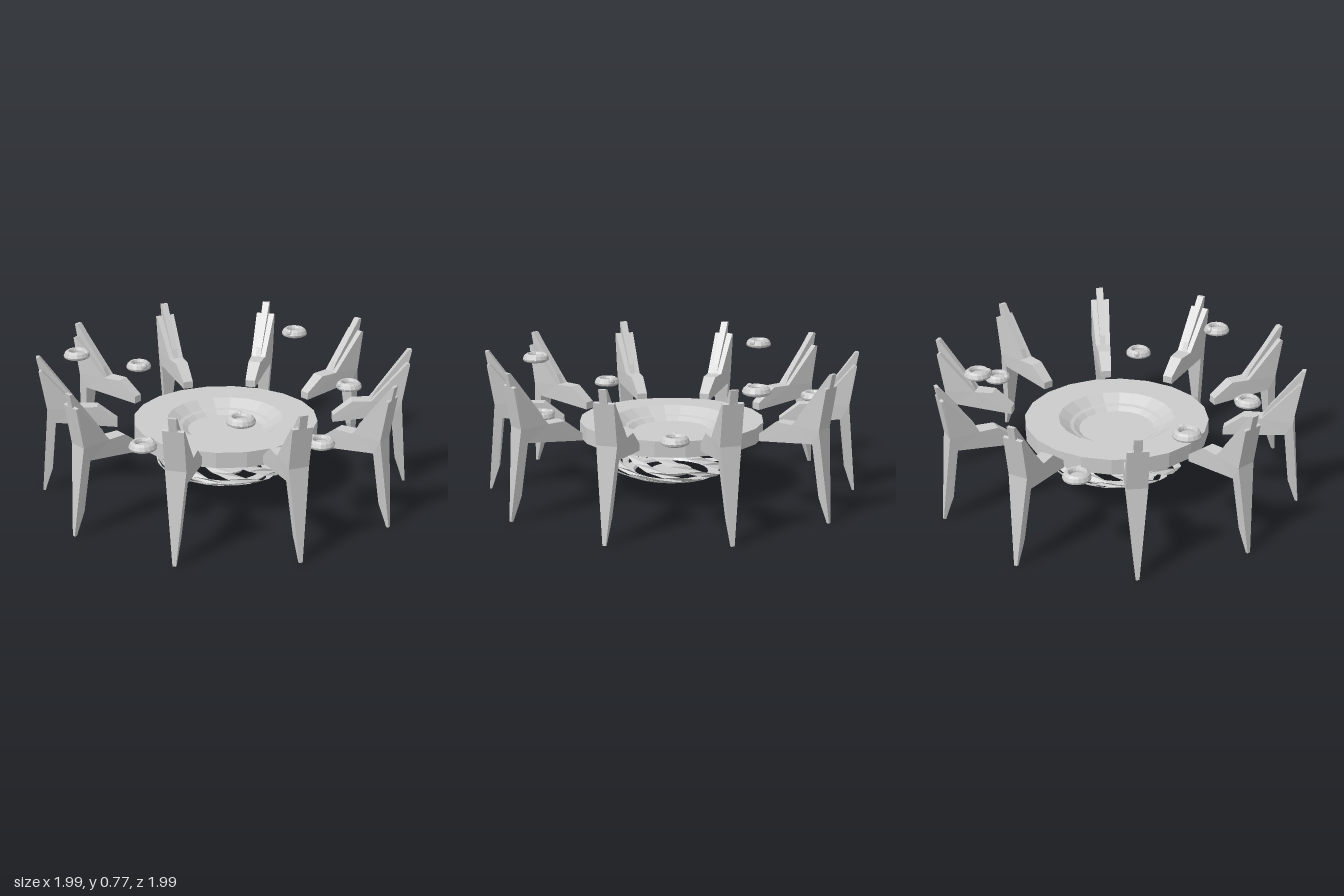
import * as THREE from 'three';

const grey = new THREE.MeshStandardMaterial({ color: 0xcccccc, flatShading: true });
const thin = new THREE.MeshStandardMaterial({ color: 0xcccccc, flatShading: true, side: THREE.DoubleSide });

function part(name, geometry, material = grey) {
  const mesh = new THREE.Mesh(geometry, material);
  mesh.name = name;
  return mesh;
}

const points = (list) => list.map(([x, y]) => new THREE.Vector2(x, y));
const lathe = (profile, sides) => new THREE.LatheGeometry(points(profile), sides);

// Side profile (radius, height) extruded, then tapered by a width rule
function taperedSlab(profile, width) {
  const geo = new THREE.ExtrudeGeometry(new THREE.Shape(points(profile)), { depth: 1, bevelEnabled: false });
  const pos = geo.attributes.position;
  for (let i = 0; i < pos.count; i++) {
    pos.setZ(i, (pos.getZ(i) - 0.5) * width(pos.getX(i), pos.getY(i)));
  }
  geo.computeVertexNormals();
  return geo;
}

// One strip of the basket, sweeping round as it follows the profile down
function basketBand(profile, start, twist, halfAngle) {
  const curve = new THREE.CatmullRomCurve3(profile.map(([r, y]) => new THREE.Vector3(r, y, 0)), false, 'centripetal');
  const steps = 9, pos = [], index = [];
  for (let i = 0; i <= steps; i++) {
    const p = curve.getPoint(i / steps);
    for (const side of [-1, 1]) {
      const a = start - twist * (i / steps) + side * halfAngle;
      pos.push(p.x * Math.cos(a), p.y, p.x * Math.sin(a));
    }
    if (i < steps) {
      const k = i * 2;
      index.push(k, k + 1, k + 2, k + 1, k + 3, k + 2);
    }
  }
  const geo = new THREE.BufferGeometry();
  geo.setAttribute('position', new THREE.Float32BufferAttribute(pos, 3));
  geo.setIndex(index);
  geo.computeVertexNormals();
  return geo;
}

export function createModel() {
  const model = new THREE.Group();
  model.name = 'tableWithChairs';

  // Round table top with a stepped hollow
  model.add(part('tableTop', lathe([
    [0, 0.315], [0.5, 0.315], [0.5, 0.4], [0.315, 0.4], [0.255, 0.36],
    [0.235, 0.355], [0.205, 0.335], [0, 0.335],
  ], 20)));

  // Twisted basket under the table
  const basket = new THREE.Group();
  basket.name = 'basketBase';
  const basketProfile = [[0.27, 0.325], [0.34, 0.25], [0.385, 0.185], [0.32, 0.135], [0.24, 0.11]];
  const bands = 12;
  for (let i = 0; i < bands; i++) {
    basket.add(part('basketBand', basketBand(basketProfile, (i / bands) * Math.PI * 2, 2.0, 0.13), thin));
  }
  basket.add(part('basketRing', lathe([
    [0.2, 0.105], [0.25, 0.105], [0.26, 0.118], [0.21, 0.118], [0.2, 0.105],
  ], 24)));
  const foot = part('basketFoot', new THREE.CylinderGeometry(0.11, 0.1, 0.015, 20));
  foot.position.y = 0.108;
  basket.add(foot);
  model.add(basket);

  // Ten chairs: seat, back and pointed leg in one slab, with a fin on the back
  const bodyGeo = taperedSlab([
    [0.585, 0.37], [0.915, 0.41], [0.945, 0.13], [0.99, 0], [1.003, 0], [0.955, 0.485],
    [0.99, 0.7], [0.975, 0.705], [0.79, 0.49], [0.69, 0.49], [0.585, 0.41],
  ], (r, y) => Math.min(0.057 + 0.05 * Math.min(1, (r - 0.585) / 0.37), 0.018 + 0.19 * y));
  const finGeo = taperedSlab([
    [0.78, 0.47], [0.95, 0.49], [1.003, 0.77], [0.985, 0.77], [0.815, 0.54],
  ], (r) => 0.03 + 0.05 * (r - 0.78));
  for (let i = 0; i < 10; i++) {
    const chair = new THREE.Group();
    chair.name = 'chair';
    chair.add(part('chairBody', bodyGeo), part('chairBackFin', finGeo));
    chair.rotation.y = -THREE.MathUtils.degToRad(i * 36 - 9);
    model.add(chair);
  }

  // Small floating bowls between the chairs, each with a knob facing the table
  const bowlGeo = lathe([
    [0, 0], [0.055, 0], [0.07, 0.008], [0.073, 0.018], [0.065, 0.036], [0.052, 0.046],
    [0.043, 0.044], [0.037, 0.032], [0.036, 0.022], [0, 0.022],
  ], 16);
  const knobGeo = new THREE.SphereGeometry(0.02, 8, 6);
  const high = 0.668, low = 0.453;
  const spots = [
    [-0.11, high, -0.73], [0.32, low, -0.69], [-0.81, low, -0.15], [-0.755, high, 0.38],
    [0.075, low, 0.71], [0.575, high, 0.54], [0.72, low, 0.09],
  ];
  for (const [x, y, z] of spots) {
    const bowl = new THREE.Group();
    bowl.name = 'bowl';
    const knob = part('bowlKnob', knobGeo);
    knob.position.set(-0.056, 0.03, 0);
    bowl.add(part('bowlBody', bowlGeo), knob);
    bowl.position.set(x, y, z);
    bowl.rotation.y = -Math.atan2(z, x);
    model.add(bowl);
  }

  return model;
}
